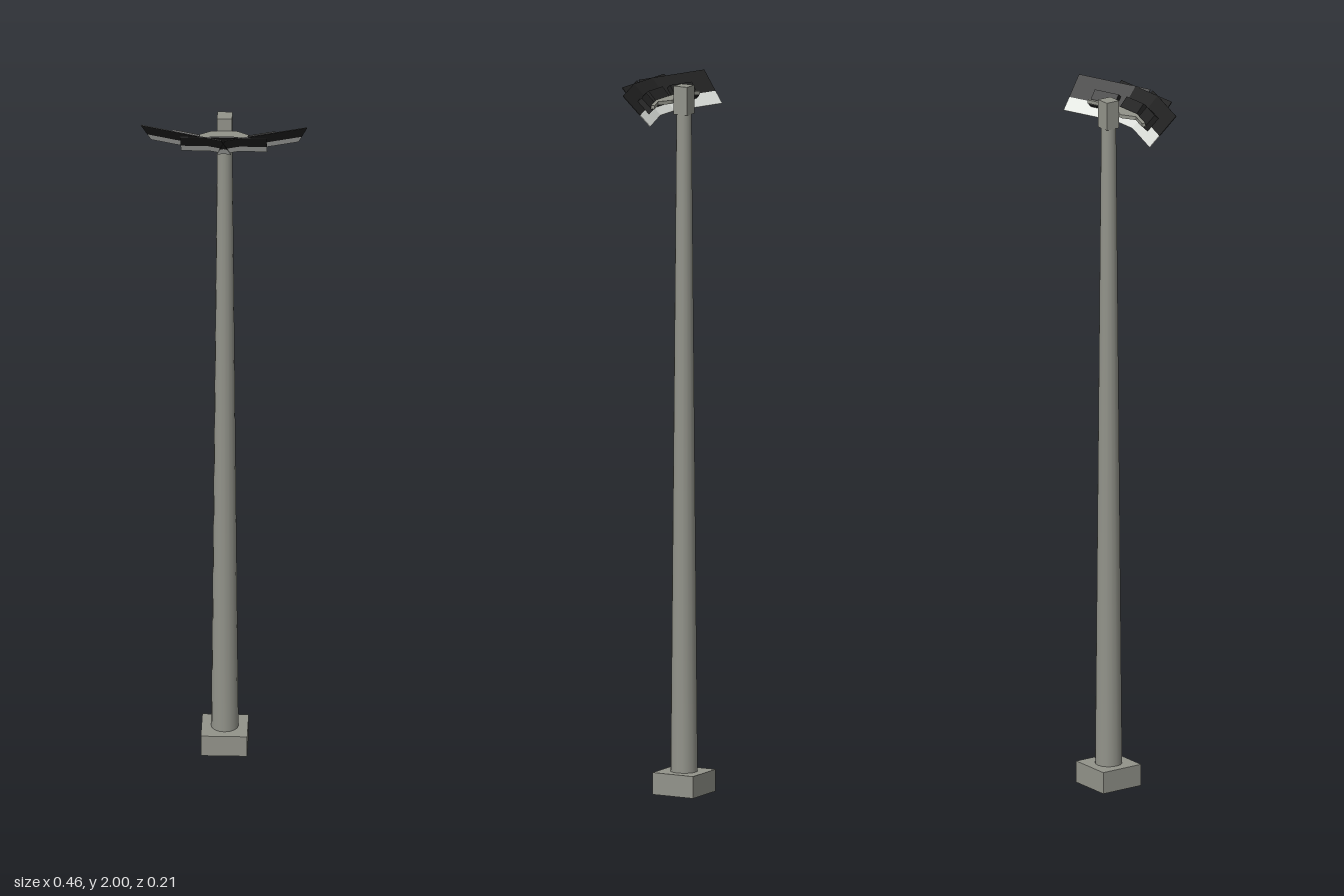
import * as THREE from 'three';

const mat = (name, color) => {
  const m = new THREE.MeshStandardMaterial({ color, side: THREE.DoubleSide });
  m.name = name;
  return m;
};

export function createModel() {
  const model = new THREE.Group();
  model.name = 'floodlightMast';
  const steel = mat('grey steel', 0x92938a);
  const black = mat('black housing', 0x222222);
  const pale = mat('pale lens', 0xdcdfda);
  const poleZ = -0.043;

  const add = (parent, name, geometry, material, x = 0, y = 0, z = 0) => {
    const mesh = new THREE.Mesh(geometry, material);
    mesh.name = name;
    mesh.position.set(x, y, z);
    parent.add(mesh);
    return mesh;
  };

  // Footing: a square shell, open underneath
  const side = 0.129;
  const walls = new THREE.CylinderGeometry(side / Math.SQRT2, side / Math.SQRT2, 0.062, 4, 1, true)
    .rotateY(Math.PI / 4).toNonIndexed();
  walls.computeVertexNormals();
  add(model, 'footingWalls', walls, steel, 0, 0.031, poleZ);
  add(model, 'footingTop', new THREE.PlaneGeometry(side, side).rotateX(-Math.PI / 2), steel, 0, 0.062, poleZ);

  // Tapered pole and square head
  add(model, 'pole', new THREE.CylinderGeometry(0.021, 0.038, 1.87, 16, 1, true), steel, 0, 0.995, poleZ);
  add(model, 'poleHead', new THREE.BoxGeometry(0.042, 0.08, 0.042), steel, 0, 1.96, poleZ);

  // Bracket bar following the three lamps, joined to the head
  const outline = [[-0.13, -0.022], [-0.07, 0], [-0.035, -0.022], [0.035, -0.022], [0.07, 0],
    [0.13, -0.022], [0.133, -0.012], [0.05, 0.018], [-0.05, 0.018], [-0.133, -0.012]];
  const shape = new THREE.Shape(outline.map(([x, z]) => new THREE.Vector2(x, z)));
  const bar = new THREE.ExtrudeGeometry(shape, { depth: 0.01, bevelEnabled: false }).rotateX(Math.PI / 2);
  add(model, 'bracket', bar, steel, 0, 1.962, 0);

  // Lamp: tilted visor panel with a pale lower strip and a housing behind
  const lamp = (name, x, z, turn) => {
    const group = new THREE.Group();
    group.name = name;
    group.position.set(x, 1.917, z);
    group.rotation.set(0.736, turn, 0, 'YXZ');
    const length = 0.114, strip = 0.042, width = 0.24;
    add(group, 'lensStrip', new THREE.BoxGeometry(width, strip, 0.002), pale, 0, strip / 2, 0);
    add(group, 'visor', new THREE.BoxGeometry(width, length - strip, 0.002), black, 0, (length + strip) / 2, 0);
    add(group, 'housing', new THREE.BoxGeometry(0.08, 0.047, 0.015), black, 0, 0.05, -0.0095);
    model.add(group);
  };
  const swing = THREE.MathUtils.degToRad(20);
  lamp('centreLamp', 0, 0.011, 0);
  for (const s of [1, -1]) lamp(s > 0 ? 'leftLamp' : 'rightLamp', s * 0.0925, -0.0085, s * swing);

  return model;
}
